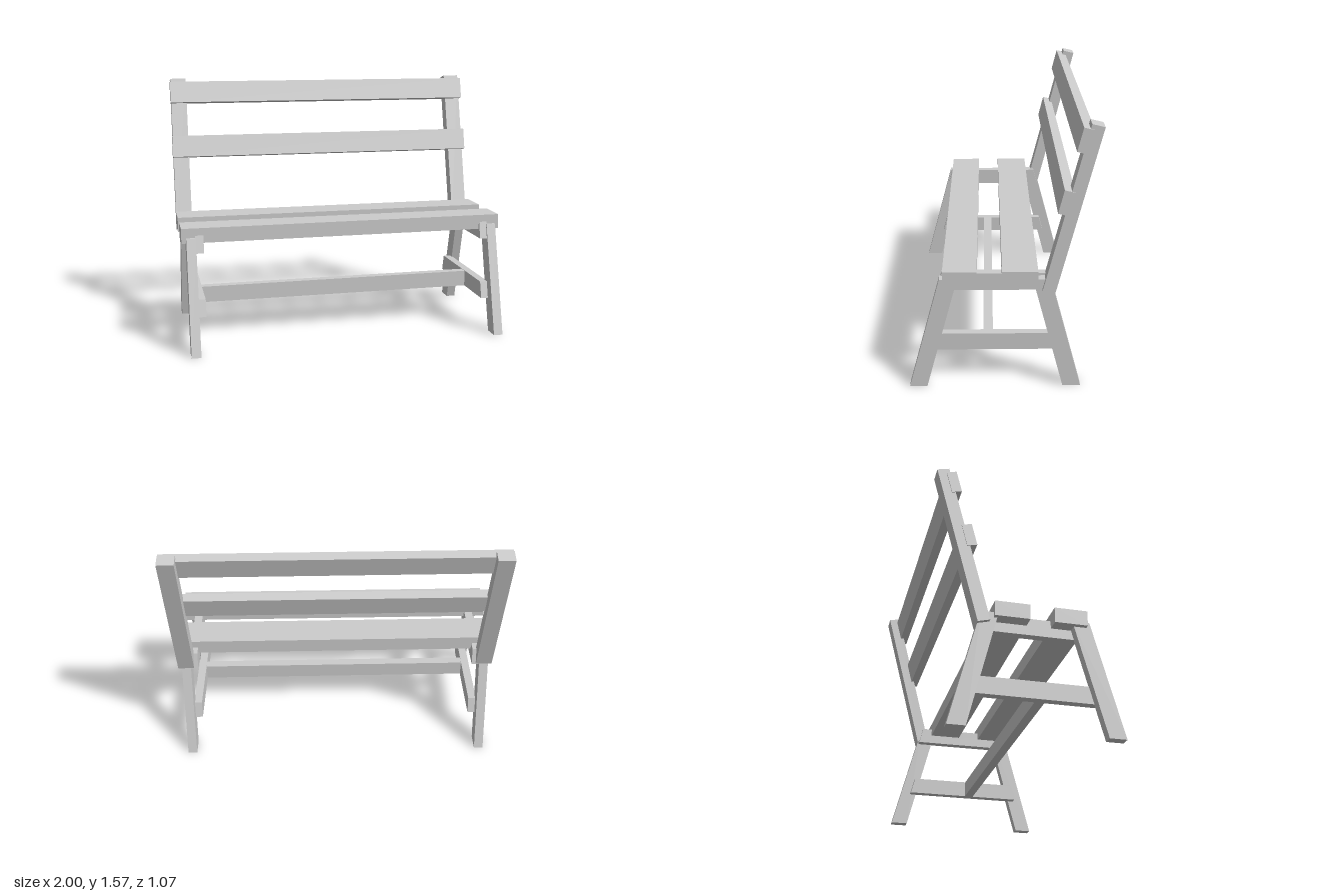
import * as THREE from 'three';

// Straight timber: a side outline of [z, y] points, extruded from x0 to x1
function timber(name, outline, x0, x1, material) {
  const shape = new THREE.Shape(outline.map(([z, y]) => new THREE.Vector2(-z, y)));
  const geometry = new THREE.ExtrudeGeometry(shape, { depth: x1 - x0, bevelEnabled: false });
  geometry.rotateY(Math.PI / 2); // extrusion now runs along +x, outline lies in z/y
  geometry.translate(x0, 0, 0);
  const mesh = new THREE.Mesh(geometry, material);
  mesh.name = name;
  return mesh;
}

const rect = (z0, z1, y0, y1) => [[z0, y0], [z1, y0], [z1, y1], [z0, y1]];

export function createModel() {
  const bench = new THREE.Group();
  bench.name = 'bench';
  const wood = new THREE.MeshStandardMaterial({ color: 0xcccccc, flatShading: true });
  const add = (name, outline, x0, x1) => bench.add(timber(name, outline, x0, x1, wood));

  // Seat planks
  add('frontSeatPlank', rect(0.145, 0.335, 0.645, 0.735), -1, 1);
  add('rearSeatPlank', rect(-0.195, 0.005, 0.645, 0.735), -1, 1);

  // Leaning back slats
  add('upperBackSlat', [[-0.387, 1.423], [-0.42, 1.555], [-0.477, 1.541], [-0.444, 1.409]], -1, 1);
  add('lowerBackSlat', [[-0.295, 1.077], [-0.328, 1.21], [-0.385, 1.196], [-0.352, 1.063]], -1, 1);

  // Long stretcher between the two end frames
  add('stretcher', rect(0.055, 0.11, 0.21, 0.31), -0.87, 0.87);

  // Mirrored end frames
  for (const side of [-1, 1]) {
    const label = side > 0 ? 'left' : 'right';
    const addSide = (name, outline, inner, outer) =>
      add(label + name, outline, Math.min(side * inner, side * outer), Math.max(side * inner, side * outer));

    // Splayed legs
    addSide('FrontLeg', [[0.435, 0], [0.535, 0], [0.354, 0.677], [0.254, 0.677]], 0.915, 0.972);
    addSide('RearLeg', [[-0.345, 0], [-0.448, 0], [-0.267, 0.677], [-0.167, 0.677]], 0.915, 0.972);

    // Rails with ends cut parallel to the legs
    addSide('SeatRail', [[0.367, 0.588], [0.342, 0.69], [-0.257, 0.69], [-0.282, 0.588]], 0.87, 0.92);
    addSide('LowerRail', [[0.415, 0.21], [0.388, 0.312], [-0.303, 0.312], [-0.33, 0.21]], 0.87, 0.92);

    // Back post
    addSide('BackPost', [[-0.22, 0.616], [-0.462, 1.572], [-0.532, 1.555], [-0.29, 0.598]], 0.895, 0.995);
  }
  return bench;
}
